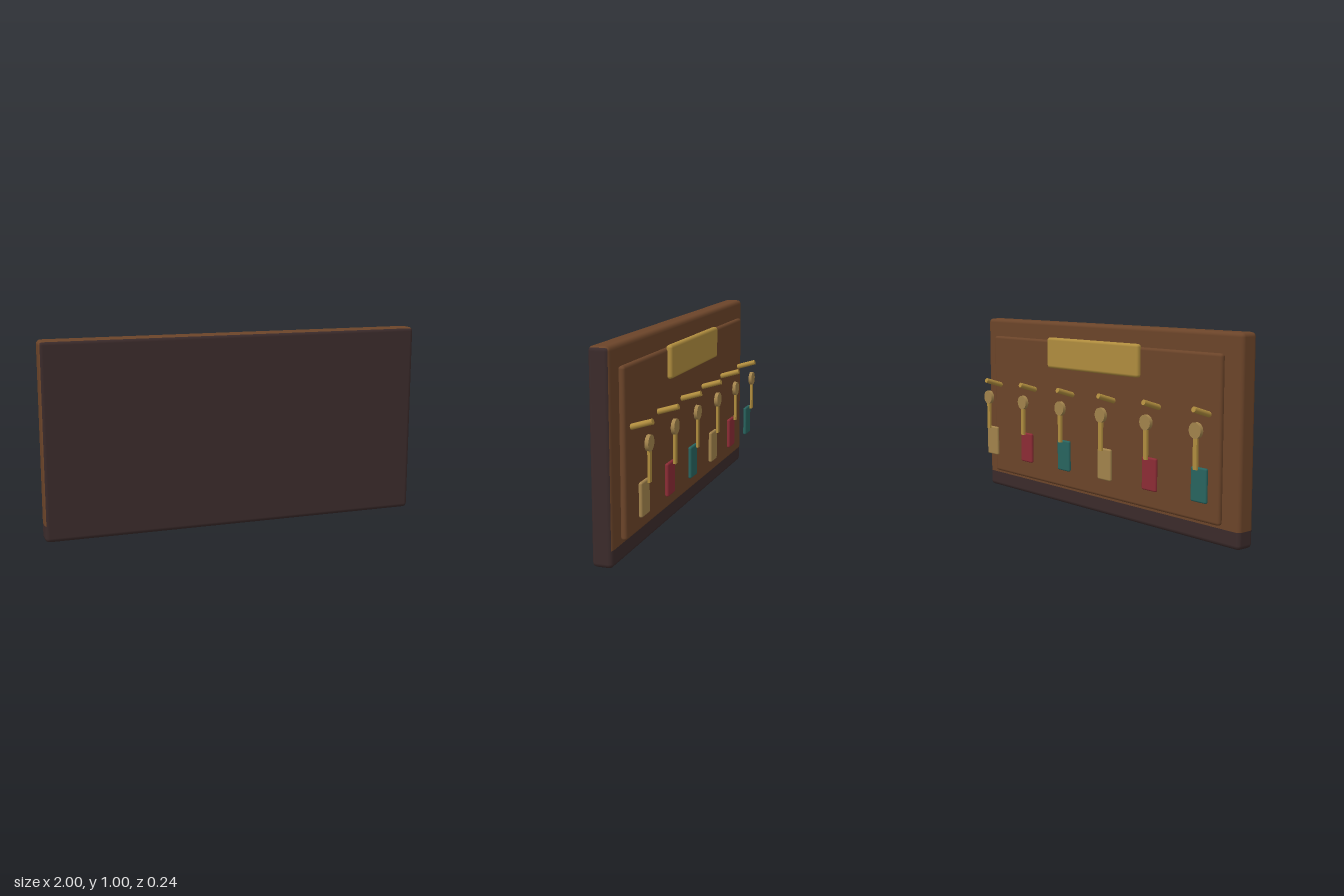
import * as THREE from 'three';

const mat = (name, color) => {
  const m = new THREE.MeshStandardMaterial({ color });
  m.name = name;
  return m;
};

// Box with rounded edges; an optional extra row of vertices at height `split`.
function roundedBox(w, h, d, r, steps, split) {
  const coords = (size, extra) => {
    const e = size / 2, list = [];
    for (let i = 0; i <= steps; i++) {
      const a = (i / steps) * r;
      list.push(-e + a, e - a);
    }
    if (extra !== undefined) list.push(extra);
    return [...new Set(list.map((v) => +v.toFixed(5)))].sort((a, b) => a - b);
  };
  const grid = [coords(w), coords(h, split), coords(d)];
  const half = new THREE.Vector3(w, h, d).multiplyScalar(0.5);
  const inner = half.clone().subScalar(r + 1e-5).max(new THREE.Vector3());
  const low = inner.clone().negate();
  const geo = new THREE.BoxGeometry(1, 1, 1, ...grid.map((g) => g.length - 1));
  const pos = geo.attributes.position, nor = geo.attributes.normal;
  const at = (g, v) => g[Math.round((v + 0.5) * (g.length - 1))];
  for (let i = 0; i < pos.count; i++) {
    const p = new THREE.Vector3(at(grid[0], pos.getX(i)), at(grid[1], pos.getY(i)), at(grid[2], pos.getZ(i)));
    const core = p.clone().clamp(low, inner);
    const dir = p.sub(core).normalize();
    core.addScaledVector(dir, r);
    pos.setXYZ(i, core.x, core.y, core.z);
    nor.setXYZ(i, dir.x, dir.y, dir.z);
  }
  return geo;
}

// Regroup the board: top, back and right end are wood, apart from a dark band at the foot.
function paintBoard(geo, split) {
  const sets = [[], []], pos = geo.attributes.position;
  const woodSides = [1, 2, 5];
  for (const g of geo.groups) {
    for (let i = g.start; i < g.start + g.count; i += 3) {
      const tri = [0, 1, 2].map((k) => geo.index.getX(i + k));
      const y = tri.reduce((s, v) => s + pos.getY(v), 0) / 3;
      sets[woodSides.includes(g.materialIndex) && y > split ? 0 : 1].push(...tri);
    }
  }
  geo.clearGroups();
  geo.setIndex([...sets[0], ...sets[1]]);
  geo.addGroup(0, sets[0].length, 0);
  geo.addGroup(sets[0].length, sets[1].length, 1);
  return geo;
}

export function createModel() {
  const model = new THREE.Group();
  model.name = 'keyRack';
  const wood = mat('wood', 0x6b4429);
  const dark = mat('darkWood', 0x3b2b2b);
  const brass = mat('brass', 0xb08d3e);
  const tan = mat('tan', 0xa2834c);
  const red = mat('red', 0x8c2c35);
  const teal = mat('teal', 0x28645f);

  const add = (parent, name, geo, material, x, y, z) => {
    const mesh = new THREE.Mesh(geo, material);
    mesh.name = name;
    mesh.position.set(x, y, z);
    parent.add(mesh);
    return mesh;
  };

  // Backing board, raised panel and blank name plate
  const band = -0.415;
  const board = paintBoard(roundedBox(2, 1, 0.1, 0.022, 2, band), band);
  add(model, 'board', board, [wood, dark], 0, 0.5, 0.07);
  add(model, 'panel', roundedBox(1.8, 0.8, 0.032, 0.015, 2), wood, 0, 0.502, 0.007);
  add(model, 'namePlate', roundedBox(0.73, 0.167, 0.034, 0.015, 2), brass, 0, 0.835, -0.016);

  // Six pegs, each with a key and a coloured tag
  const pegGeo = new THREE.CylinderGeometry(0.014, 0.014, 0.11, 10);
  const bowGeo = new THREE.CylinderGeometry(0.038, 0.038, 0.018, 16).rotateX(Math.PI / 2);
  const shaftGeo = new THREE.BoxGeometry(0.025, 0.16, 0.012);
  const tagGeo = roundedBox(0.1, 0.165, 0.019, 0.009, 2);
  const tagColors = [teal, red, tan];
  for (let i = 0; i < 6; i++) {
    const hook = new THREE.Group();
    hook.name = 'hook' + (i + 1);
    hook.position.x = -0.833 + i * 0.3332;
    const peg = add(hook, 'peg', pegGeo, brass, 0, 0.635, -0.062);
    peg.rotation.x = -Math.PI / 2 + 0.3;
    add(hook, 'keyBow', bowGeo, tan, 0, 0.553, -0.097);
    add(hook, 'keyShaft', shaftGeo, brass, 0, 0.451, -0.097);
    add(hook, 'tag', tagGeo, tagColors[i % 3], 0, 0.297, -0.07);
    model.add(hook);
  }
  return model;
}
